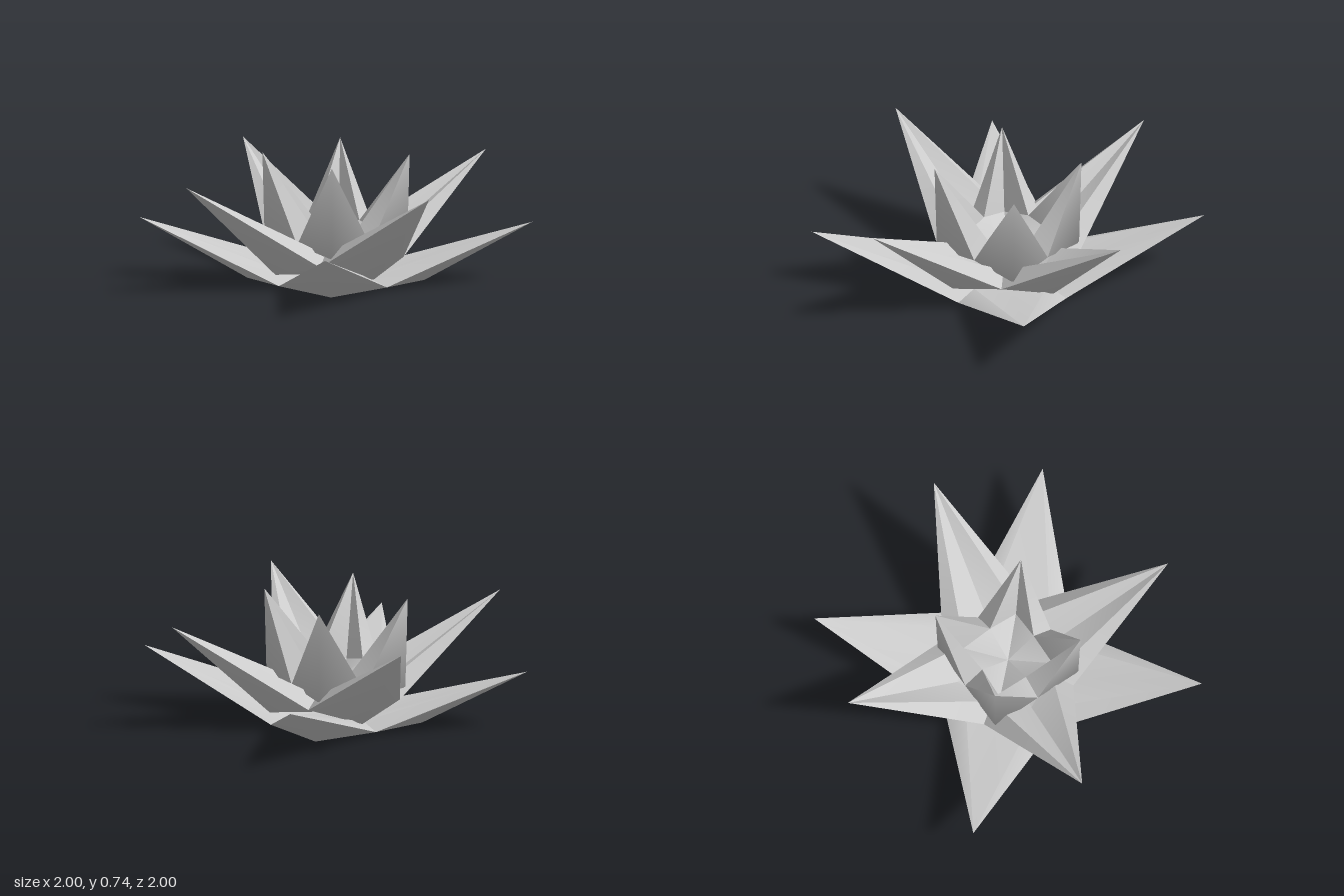
import * as THREE from 'three';
import { toCreasedNormals } from 'three/addons/utils/BufferGeometryUtils.js';

const material = new THREE.MeshStandardMaterial({ color: 0xcccccc });

// Point at radius r, height y, and angle in degrees measured from the front (+z) towards +x
function polar([r, y], degrees) {
  const a = THREE.MathUtils.degToRad(degrees);
  return [r * Math.sin(a), y, r * Math.cos(a)];
}

function indexed(points, index) {
  const geometry = new THREE.BufferGeometry();
  geometry.setAttribute('position', new THREE.Float32BufferAttribute(points.flat(), 3));
  geometry.setIndex(index);
  geometry.computeVertexNormals();
  return geometry;
}

function part(name, geometry) {
  const mesh = new THREE.Mesh(geometry, material);
  mesh.name = name;
  return mesh;
}

// Ring of four folded petals: a smooth bowl outside, and a shallower lining
// whose sloping rim narrows to nothing at the tips
function petalTier({ name, turn, tip, outside, lining }) {
  const points = [[0, outside.centre, 0], [0, lining.centre, 0]];
  const outer = [];
  const upper = [];
  for (let i = 0; i < 4; i++) {
    const a = turn + i * 90;
    points.push(
      polar(tip, a),
      polar(outside.valley, a - 45), polar(outside.keel, a),
      polar(lining.valley, a - 45), polar(lining.keel, a)
    );
    const [t, v, k, lv, lk] = [2, 3, 4, 5, 6].map((n) => n + i * 5);
    const nextV = 3 + ((i + 1) % 4) * 5, nextLv = nextV + 2;
    outer.push(0, k, v, 0, nextV, k, k, t, v, k, nextV, t);
    upper.push(
      1, lv, lk, 1, lk, nextLv, lk, lv, t, lk, t, nextLv, // lining
      t, lv, v, t, nextV, nextLv // rim
    );
  }
  const tier = new THREE.Group();
  tier.name = name;
  tier.add(
    part('petalOutside', indexed(points, outer)),
    part('petalLining', toCreasedNormals(indexed(points, upper), 0.6))
  );
  return tier;
}

// Each pair is [radius, height]
const tiers = [
  {
    name: 'outerPetals', turn: 45, tip: [1.133, 0.35],
    outside: { centre: 0, valley: [0.44, 0.02], keel: [0.51, 0] },
    lining: { centre: 0.04, valley: [0.3, 0.05], keel: [0.36, 0.08] },
  },
  {
    name: 'middlePetals', turn: -10, tip: [1.015, 0.65],
    outside: { centre: 0.03, valley: [0.4, 0.15], keel: [0.41, 0.07] },
    lining: { centre: 0.13, valley: [0.27, 0.2], keel: [0.32, 0.2] },
  },
  {
    name: 'innerPetals', turn: 45, tip: [0.424, 0.74],
    outside: { centre: 0.1, valley: [0.3, 0.24], keel: [0.41, 0.2] },
    lining: { centre: 0.2, valley: [0.18, 0.32], keel: [0.26, 0.27] },
  },
];

export function createModel() {
  const flower = new THREE.Group();
  flower.name = 'waterLily';
  for (const tier of tiers) flower.add(petalTier(tier));
  return flower;
}
